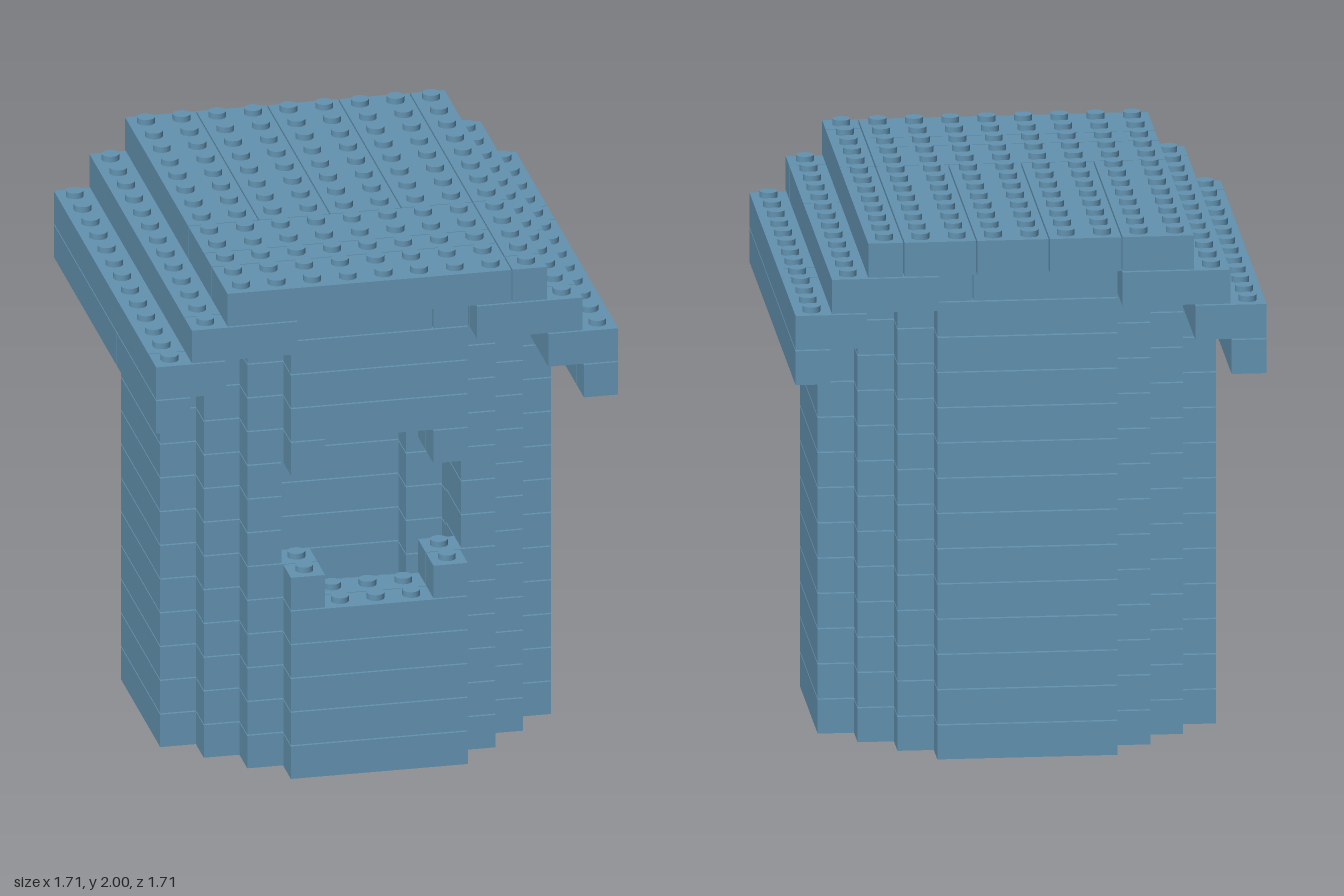
import * as THREE from 'three';
import { mergeGeometries } from 'three/addons/utils/BufferGeometryUtils.js';

const P = 0.1322;      // stud pitch and layer height
const GAP = 0.005;     // seam between bricks
const STUD_H = 0.022;
const STUD_R = 0.0325;

// Brick covering columns i0..i1 (x) and rows j0..j1 (z) on one layer
function brick(layer, i0, i1, j0, j1) {
  const g = new THREE.BoxGeometry((i1 - i0 + 1) * P - GAP, P - GAP, (j1 - j0 + 1) * P - GAP);
  g.translate((i0 + i1) / 2 * P, layer * P + (P - GAP) / 2, (j0 + j1) / 2 * P);
  return g;
}

// Same brick on both sides of x = 0
function pair(layer, i0, i1, j0, j1) {
  return [brick(layer, i0, i1, j0, j1), brick(layer, -i1, -i0, j0, j1)];
}

// Stud on top of one cell of a layer
function stud(layer, i, j) {
  const g = new THREE.CylinderGeometry(STUD_R, STUD_R, STUD_H, 20);
  g.translate(i * P, (layer + 1) * P - GAP + STUD_H / 2, j * P);
  return g;
}

// Long roof beams cut at the given rows
function beam(layer, i0, i1, starts) {
  return starts.map((s, k) => brick(layer, i0, i1, s, (starts[k + 1] ?? 7) - 1));
}

export function createModel() {
  const model = new THREE.Group();
  const blue = new THREE.MeshStandardMaterial({ color: 0x6292b0 });
  blue.name = 'steelBlue';
  const add = (name, geos) => {
    const mesh = new THREE.Mesh(mergeGeometries(geos), blue);
    mesh.name = name;
    model.add(mesh);
  };

  // Stepped octagonal walls, two studs thick, with a window in the front
  const front = [], back = [], sides = [], corners = [];
  for (let y = 0; y <= 13; y++) {
    if (y >= 6 && y <= 8) {
      front.push(...pair(y, 3, 3, 4, 4));
    } else if (y === 5 || y === 9) {
      front.push(...pair(y, 2, 2, 5, 5), ...pair(y, 2, 3, 4, 4));
    } else if (y === 13) {
      front.push(brick(y, -2, 1, 4, 5), brick(y, 2, 2, 4, 5));
    } else {
      front.push(brick(y, -2, 2, 5, 5), brick(y, -3, 3, 4, 4));
    }
    if (y === 13) {
      back.push(brick(y, -2, 1, -5, -4), brick(y, 2, 2, -5, -4));
      continue;
    }
    back.push(brick(y, -2, 2, -5, -5), brick(y, -3, 3, -4, -4));
    const outer = y === 12 ? 4 : 5;   // the roof beam replaces the outer column
    sides.push(...pair(y, 4, outer, -2, 1), ...pair(y, 4, outer, 2, 2));
    for (const j of [-3, 3]) corners.push(...pair(y, 3, 4, j, j));
  }
  add('frontWall', front);
  add('backWall', back);
  add('sideWalls', sides);
  add('cornerBricks', corners);

  // Two-layer floor with studs inside the house
  const floor = [], floorStuds = [];
  for (let y = 0; y < 2; y++) {
    for (const j of [-3, 3]) floor.push(brick(y, -2, 2, j, j));
    floor.push(brick(y, -3, 3, -2, -1), brick(y, -3, 3, 0, 1), brick(y, -3, 3, 2, 2));
  }
  for (let i = -3; i <= 3; i++)
    for (let j = -3; j <= 3; j++)
      if (Math.abs(i) + Math.abs(j) <= 5) floorStuds.push(stud(1, i, j));
  add('floor', floor);
  add('floorStuds', floorStuds);

  // Window sill studs
  const sill = [];
  for (const j of [4, 5]) {
    for (const i of [-1, 0, 1]) sill.push(stud(4, i, j));
    for (const i of [-2, 2]) sill.push(stud(5, i, j));
  }
  add('windowSillStuds', sill);

  // Stepped eaves on both sides
  add('lowerEaves', [...beam(11, 6, 6, [-6, 2, 6]), ...beam(11, -6, -6, [-6, 2, 6])]);
  add('middleEaves', [...beam(12, 5, 6, [-6, -2, -1]), ...beam(12, -6, -5, [-6, 6])]);
  add('upperEaves', [...beam(13, 3, 5, [-6, 2, 6]), ...beam(13, -5, -3, [-6, 6])]);

  // Roof top slab
  add('roofTop', [
    ...beam(14, 4, 4, [-6, 2, 6]),
    brick(14, -4, -3, -6, 1), brick(14, -2, -1, -6, 1),
    brick(14, 0, 1, -6, 1), brick(14, 2, 3, -6, 1),
    brick(14, -4, 3, 2, 3), brick(14, -4, 3, 4, 4), brick(14, -4, 3, 5, 6),
  ]);

  // Roof studs follow the three steps
  const roofStuds = [];
  for (let i = -6; i <= 6; i++)
    for (let j = -6; j <= 6; j++)
      roofStuds.push(stud(Math.min(14, 18 - Math.abs(i)), i, j));
  add('roofStuds', roofStuds);

  return model;
}
